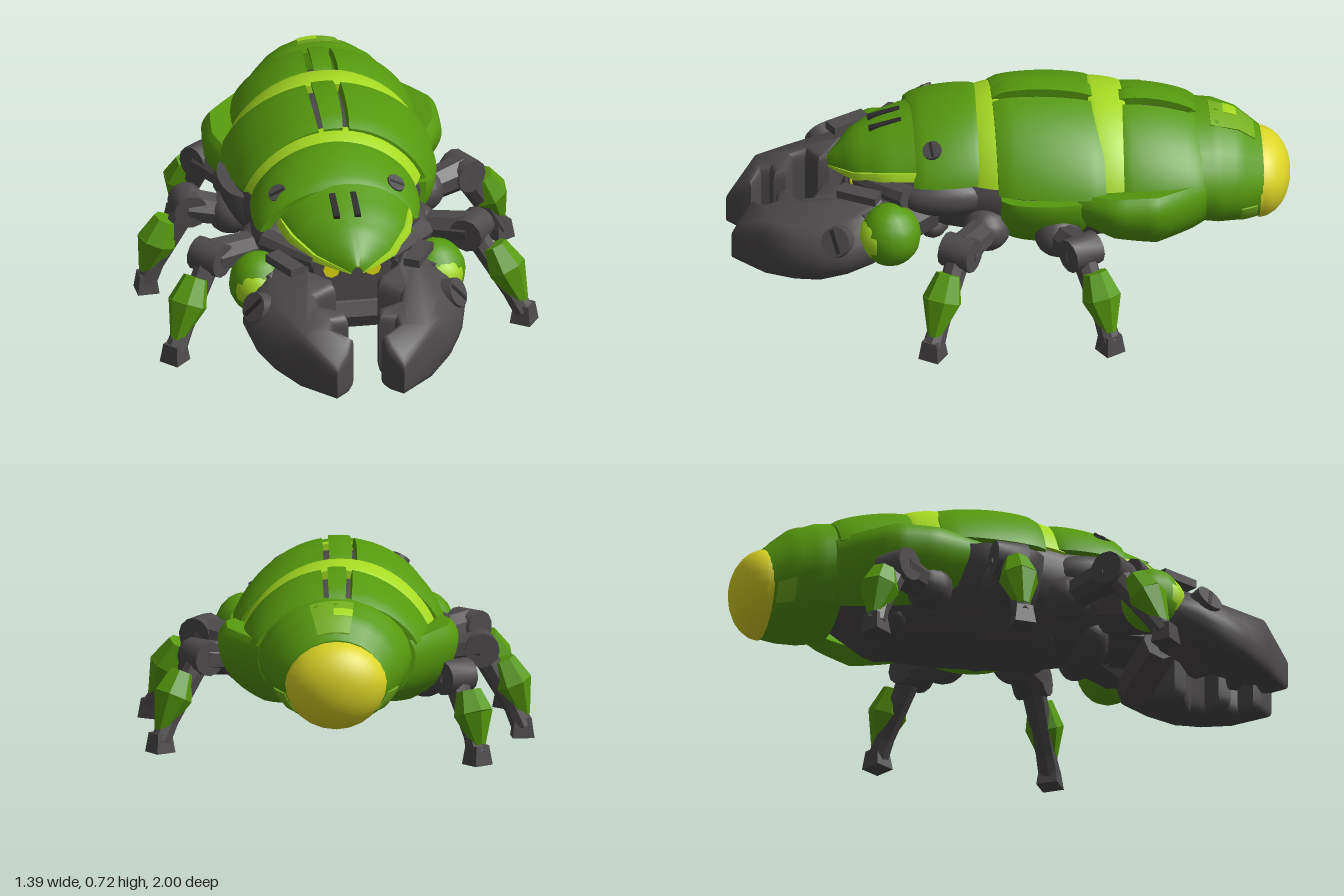
import * as THREE from 'three';
import { toCreasedNormals } from 'three/addons/utils/BufferGeometryUtils.js';

const V = (x, y, z) => new THREE.Vector3(x, y, z);

export function createModel() {
  const root = new THREE.Group();
  root.name = 'beetle';
  const mat = (name, color) => {
    const m = new THREE.MeshStandardMaterial({ color });
    m.name = name;
    return m;
  };
  const green = mat('shellGreen', 0x569a0e);
  const paleGreen = mat('paleGreen', 0x74b020);
  const lime = mat('limeTrim', 0xa6da22);
  const yellow = mat('tailYellow', 0xdcd526);
  const eyeMat = mat('eyeYellow', 0xe8e010);
  const dark = mat('darkGrey', 0x4d4a4b);
  const black = mat('slotBlack', 0x2c2a2b);

  const add = (name, geo, m, parent = root) => {
    const mesh = new THREE.Mesh(geo, m);
    mesh.name = name;
    parent.add(mesh);
    return mesh;
  };

  // Arched armour plate (k > 0) or solid body (k = 0) lofted from front to back.
  // Each section: [z, centre x, half width, base y, height above, height below]; roof > 1 makes the arch tented
  function shell(name, m, secs, { a0 = 0, a1 = 360, bulge = 0, k = 0.88, n = 24, rows = 12, roof = 1.35 } = {}) {
    const pos = [], idx = [], ring = 2 * (n + 1);
    for (let i = 0; i <= rows; i++) {
      const v = i / rows, f = v * (secs.length - 1);
      const s = Math.min(Math.floor(f), secs.length - 2);
      const [z, cx, w, yb, ht, hb] = secs[s].map((p, q) => THREE.MathUtils.lerp(p, secs[s + 1][q], f - s));
      const b = bulge * Math.sqrt(Math.max(0, Math.sin(Math.PI * v)));
      for (const r of [1, k]) for (let j = 0; j <= n; j++) {
        const a = THREE.MathUtils.degToRad(a0 + (a1 - a0) * j / n), sn = Math.sin(a);
        const y = sn > 0 ? (ht + b) * sn ** roof : (hb + b) * sn;
        pos.push(cx + (w + b) * r * Math.cos(a), yb + r * y, z);
      }
    }
    const quad = (a, b, c, d) => idx.push(a, b, c, a, c, d);
    for (let i = 0; i < rows; i++) {
      const p = i * ring, q = p + ring, o = n + 1;
      for (let j = 0; j < n; j++) {
        quad(p + j, q + j, q + j + 1, p + j + 1);
        if (k) quad(p + o + j + 1, q + o + j + 1, q + o + j, p + o + j);
      }
      if (k) {
        quad(p, p + o, q + o, q);
        quad(p + n, q + n, q + o + n, p + o + n);
      }
    }
    const e = rows * ring;
    for (let j = 0; j < n; j++) {
      const o = n + 1 + j;
      quad(j, j + 1, o + 1, o);
      quad(e + j, e + o, e + o + 1, e + j + 1);
    }
    const g = new THREE.BufferGeometry();
    g.setAttribute('position', new THREE.Float32BufferAttribute(pos, 3));
    g.setIndex(idx);
    return add(name, toCreasedNormals(g, 0.75), m);
  }

  // Tapered bar between two points
  const limb = (name, m, a, b, ra, rb, parent = root, sides = 8) => {
    const d = b.clone().sub(a);
    const mesh = add(name, toCreasedNormals(new THREE.CylinderGeometry(rb, ra, d.length(), sides), 0.6), m, parent);
    mesh.position.copy(a).addScaledVector(d, 0.5);
    mesh.quaternion.setFromUnitVectors(V(0, 1, 0), d.normalize());
    return mesh;
  };
  const ball = (name, m, p, s, parent = root) => {
    const mesh = add(name, new THREE.SphereGeometry(1, 16, 10), m, parent);
    mesh.position.copy(p);
    mesh.scale.set(...s);
    return mesh;
  };
  const box = (name, m, p, s, parent = root) => {
    const mesh = add(name, new THREE.BoxGeometry(...s), m, parent);
    mesh.position.copy(p);
    return mesh;
  };
  // Slotted bolt head facing direction d
  const bolt = (p, d, r) => {
    const g = new THREE.Group();
    g.name = 'bolt';
    g.position.copy(p);
    g.quaternion.setFromUnitVectors(V(0, 1, 0), d.normalize());
    add('boltHead', new THREE.CylinderGeometry(r * 0.9, r, 0.05, 16), dark, g);
    box('boltSlot', black, V(0, 0.024, 0), [r * 1.5, 0.006, r * 0.25], g);
    root.add(g);
  };

  // Dark inner body
  shell('underbody', dark, [
    [0.46, -0.01, 0.17, 0.37, 0.1, 0.14], [0.3, -0.02, 0.25, 0.4, 0.18, 0.2],
    [0.05, -0.01, 0.32, 0.41, 0.25, 0.245], [-0.25, 0.01, 0.34, 0.41, 0.25, 0.25],
    [-0.48, 0.03, 0.29, 0.4, 0.22, 0.23], [-0.64, 0.05, 0.2, 0.4, 0.15, 0.12]], { k: 0, rows: 20 });
  for (let i = 0; i < 5; i++)
    ball('bellyRidge', dark, V(0.005 * i, 0.24, 0.28 - i * 0.18), [0.2, 0.08, 0.08]);

  // Head shield, trim, slots and face
  const headSecs = [[0.645, -0.01, 0.025, 0.42, 0.03, 0], [0.56, -0.01, 0.14, 0.435, 0.105, 0],
    [0.46, -0.01, 0.21, 0.465, 0.12, 0], [0.345, -0.01, 0.245, 0.475, 0.145, 0]];
  shell('headShield', green, headSecs, { a0: 14, a1: 166, k: 0.85, rows: 9 });
  for (const a of [3, 161])
    shell('headTrim', lime, headSecs, { a0: a, a1: a + 16, k: 0.85, n: 4, rows: 9, bulge: 0.012 });
  for (const x of [-0.06, 0.015])
    box('headSlot', black, V(x, 0.587, 0.44), [0.022, 0.014, 0.12]).rotation.x = 0.25;
  box('face', dark, V(-0.015, 0.345, 0.48), [0.28, 0.2, 0.16]);
  limb('mouthBar', dark, V(-0.2, 0.215, 0.52), V(0.18, 0.215, 0.52), 0.07, 0.07);
  for (const x of [-0.09, 0.058]) {
    const eye = add('eye', new THREE.CylinderGeometry(0.03, 0.03, 0.009, 8), eyeMat);
    eye.position.set(x, 0.398, 0.564);
    eye.rotation.x = Math.PI / 2;
  }

  // Pronotum and the lime joints between segments
  shell('pronotum', green, [[0.355, -0.035, 0.28, 0.45, 0.16, 0], [0.095, -0.015, 0.28, 0.47, 0.19, 0]],
    { a0: 6, a1: 174, bulge: 0.025 });
  shell('frontJoint', lime, [[0.14, -0.01, 0.29, 0.44, 0.215, 0], [0.03, -0.005, 0.325, 0.44, 0.24, 0]],
    { a0: 14, a1: 166, bulge: 0.01 });
  shell('rearJoint', lime, [[-0.28, 0.01, 0.345, 0.43, 0.255, 0], [-0.41, 0.025, 0.33, 0.43, 0.24, 0]],
    { a0: 14, a1: 166, bulge: 0.01 });
  bolt(V(-0.232, 0.556, 0.28), V(-0.45, 0.75, 0.35), 0.038);
  bolt(V(0.175, 0.561, 0.28), V(0.45, 0.75, 0.35), 0.038);

  // Split wing plates with a raised centre ridge
  const wing = [[0.06, 0, 0.335, 0.43, 0.26, 0], [-0.32, 0.015, 0.365, 0.43, 0.24, 0]];
  const rear = [[-0.37, 0.03, 0.325, 0.43, 0.235, 0], [-0.67, 0.045, 0.295, 0.43, 0.18, 0]];
  for (const [a0, a1] of [[12, 81], [100, 168]]) {
    shell('wingPlate', green, wing, { a0, a1, bulge: 0.03, n: 16 });
    shell('rearPlate', green, rear, { a0, a1, bulge: 0.027, n: 16 });
  }
  shell('frontRidge', green, wing, { a0: 85, a1: 97, bulge: 0.042, n: 4 });
  shell('rearRidge', green, rear, { a0: 85, a1: 96, bulge: 0.04, n: 4 });

  // Lower flank plates, the right front one left bare
  const flank = [[0.05, 0, 0.33, 0.43, 0.24, 0.23], [-0.27, 0.01, 0.34, 0.43, 0.24, 0.22]];
  shell('leftFlank', green, flank, { a0: -52, a1: 6, bulge: 0.05, n: 12 });
  shell('rightFlank', dark, flank, { a0: 178, a1: 222, bulge: 0.065, n: 12 });
  const rearFlank = (front, a0) => shell('rearFlank', green, [[front, 0.02, 0.35, 0.42, 0.12, 0.14],
    [-0.35, 0.02, 0.405, 0.42, 0.14, 0.2], [-0.5, 0.03, 0.4, 0.42, 0.15, 0.23],
    [-0.68, 0.045, 0.28, 0.41, 0.15, 0.2]], { a0, a1: a0 + 74, bulge: 0.025, n: 14, k: 0.78, roof: 1 });
  rearFlank(-0.22, -52);
  rearFlank(-0.14, 158);

  // Tail with glowing tip and lighter patches
  shell('tail', green, [[-0.64, 0.05, 0.28, 0.42, 0.2, 0.2], [-0.73, 0.053, 0.265, 0.405, 0.21, 0.205],
    [-0.81, 0.055, 0.232, 0.39, 0.195, 0.197], [-0.895, 0.06, 0.175, 0.37, 0.145, 0.172]], { k: 0, roof: 1.15 });
  shell('tailTip', yellow, [0, 0.25, 0.5, 0.7, 0.85, 0.95, 1].map((t) => {
    const r = Math.sqrt(1 - t * t);
    return [-0.88 - 0.12 * t, 0.06, 0.182 * r, 0.362, 0.15 * r, 0.172 * r];
  }), { k: 0, roof: 1.1 });
  const tailSkin = [[-0.71, 0.052, 0.271, 0.409, 0.211, 0.207], [-0.81, 0.055, 0.235, 0.39, 0.198, 0.2],
    [-0.87, 0.058, 0.196, 0.376, 0.163, 0.183]];
  const patch = (name, m, secs, a0, a1, bulge) => shell(name, m, secs, { a0, a1, bulge, k: 0.97, n: 6, roof: 1.15 });
  patch('tailTopPatch', paleGreen, tailSkin, 70, 104, 0.001);
  patch('tailTopMark', lime, [[-0.76, 0.0535, 0.254, 0.4, 0.205, 0.2], tailSkin[1]], 88, 104, 0.004);
  for (const [a, b] of [[-42, -18], [198, 222]]) patch('tailSideMark', paleGreen, tailSkin.slice(1), a, b, 0.002);

  // Pincers, shoulders and brows, mirrored
  const claw = [[0.37, 0.5], [0.4, 0.6], [0.375, 0.7], [0.33, 0.79], [0.25, 0.89], [0.12, 0.995], [0.07, 0.95],
    [0.05, 0.91], [0.115, 0.87], [0.11, 0.84], [0.055, 0.83], [0.055, 0.785], [0.14, 0.755], [0.15, 0.71],
    [0.075, 0.67], [0.08, 0.63], [0.15, 0.58], [0.18, 0.5], [0.26, 0.46]];
  for (const s of [1, -1]) {
    const X = (x) => s * x - 0.015;
    const shape = new THREE.Shape(claw.map(([x, z]) => new THREE.Vector2(X(x), -z)));
    const g = new THREE.ExtrudeGeometry(shape, { depth: 0.7, steps: 4, bevelEnabled: true,
      bevelThickness: 0.15, bevelSize: 0.02, bevelOffset: -0.02, bevelSegments: 3 });
    g.rotateX(-Math.PI / 2);
    const p = g.attributes.position;
    for (let i = 0; i < p.count; i++) {
      const z = p.getZ(i), t = p.getY(i) + 0.15, out = Math.max(0, Math.abs(p.getX(i) + 0.015) - 0.2);
      const bottom = 0.105 + Math.max(0, 0.72 - z) * 0.3 + out * 0.15;
      const top = 0.425 - Math.max(0, z - 0.55) * 0.28 - Math.max(0, z - 0.9) * 0.8 - out * 0.3;
      p.setY(i, THREE.MathUtils.lerp(bottom, top, t));
      p.setX(i, p.getX(i) - s * out * 1.2 * (t - 0.4) ** 2);
    }
    add('pincer', toCreasedNormals(g, 0.75), dark);
    bolt(V(X(0.35), 0.305, 0.635), V(s * 0.75, 0.45, 0.45), 0.06);
    limb('pincerArm', dark, V(X(0.16), 0.33, 0.32), V(X(0.3), 0.29, 0.52), 0.1, 0.09);
    ball('shoulderPlate', green, V(X(0.315), 0.305, 0.445), [0.11, 0.115, 0.11]);
    ball('shoulderTrim', lime, V(X(0.322), 0.305, 0.47), [0.092, 0.09, 0.094]);
    limb('brow', dark, V(X(0.13), 0.43, 0.55), V(X(0.28), 0.435, 0.38), 0.026, 0.045);
    box('browPlate', dark, V(X(0.24), 0.43, 0.55), [0.06, 0.03, 0.15]).rotation.y = -s * 0.5;
    ball('neckPad', dark, V(X(0.25), 0.41, 0.24), [0.065, 0.07, 0.16]);
  }

  // Five walking legs: hip, knee, foot
  function leg(name, hip, knee, foot) {
    const g = new THREE.Group();
    g.name = name;
    root.add(g);
    const out = V(foot.x - knee.x, 0, foot.z - knee.z).normalize();
    const side = V(-out.z, 0, out.x);
    const ankle = knee.clone().lerp(foot, 0.68).addScaledVector(out, 0.02);
    const at = (t, o) => knee.clone().lerp(ankle, t).addScaledVector(out, o);
    ball('hip', dark, hip, [0.085, 0.08, 0.085], g);
    limb('thigh', dark, hip, knee, 0.055, 0.065, g);
    limb('kneeHinge', dark, knee.clone().addScaledVector(side, -0.058), knee.clone().addScaledVector(side, 0.058),
      0.062, 0.062, g, 12);
    limb('shin', dark, knee, ankle, 0.045, 0.035, g);
    limb('upperShinGuard', green, at(0.2, 0.055), at(0.58, 0.042), 0.045, 0.072, g, 7);
    limb('lowerShinGuard', green, at(0.58, 0.042), at(1.12, 0.018), 0.072, 0.024, g, 7);
    limb('ankle', dark, ankle, V(foot.x, 0.04, foot.z), 0.036, 0.04, g);
    const toe = add('foot', new THREE.CylinderGeometry(0.042, 0.055, 0.07, 4, 1).toNonIndexed(), dark, g);
    toe.geometry.computeVertexNormals();
    toe.position.set(foot.x, 0.035, foot.z);
    toe.rotation.y = Math.atan2(out.x, out.z) + Math.PI / 4;
  }
  leg('frontRightLeg', V(-0.28, 0.3, 0.15), V(-0.48, 0.325, 0.27), V(-0.63, 0, 0.42));
  leg('frontLeftLeg', V(0.28, 0.3, 0.1), V(0.47, 0.325, 0.21), V(0.64, 0, 0.32));
  leg('middleRightLeg', V(-0.35, 0.3, -0.1), V(-0.5, 0.325, -0.12), V(-0.65, 0, -0.11));
  leg('middleLeftLeg', V(0.34, 0.3, -0.15), V(0.5, 0.325, -0.22), V(0.65, 0, -0.31));
  leg('rearRightLeg', V(-0.29, 0.28, -0.36), V(-0.385, 0.3, -0.5), V(-0.46, 0, -0.6));

  return root;
}
